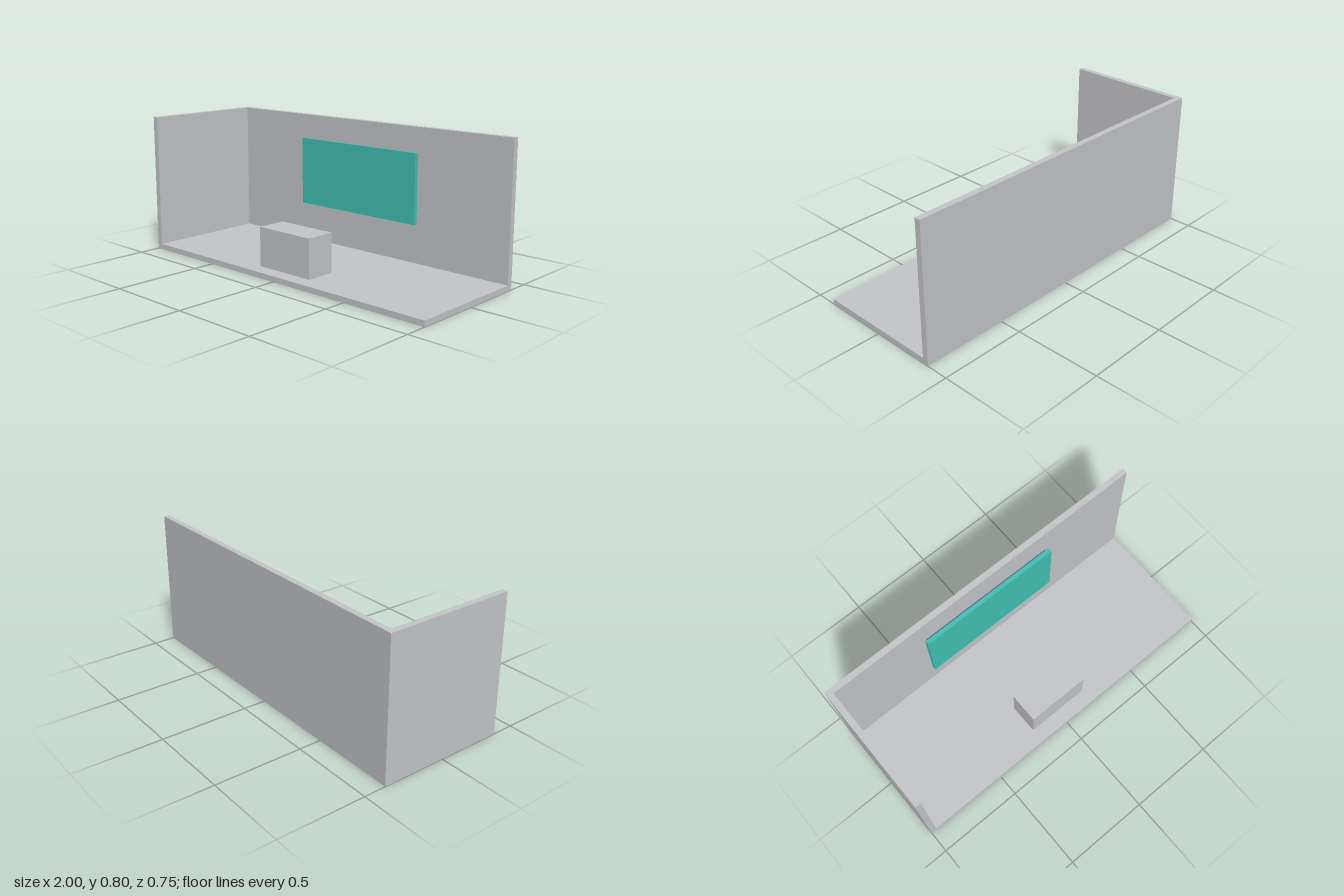
import * as THREE from 'three';

const material = (name, color) => {
  const m = new THREE.MeshStandardMaterial({ color });
  m.name = name;
  return m;
};

export function createModel() {
  const group = new THREE.Group();
  group.name = 'displayBooth';
  const grey = material('light grey', 0xc5c6ca);
  const teal = material('teal', 0x42c1b4);
  const slate = material('slate blue', 0x4a6b85);

  // Box given by its extents along each axis
  const addBox = (name, mat, [x0, x1], [y0, y1], [z0, z1]) => {
    const mesh = new THREE.Mesh(new THREE.BoxGeometry(x1 - x0, y1 - y0, z1 - z0), mat);
    mesh.position.set((x0 + x1) / 2, (y0 + y1) / 2, (z0 + z1) / 2);
    mesh.name = name;
    group.add(mesh);
  };

  // Booth shell: floor and two walls meeting at the rear right corner
  const D = 0.374, H = 0.8, T = 0.032;
  addBox('floor', grey, [-1, 1], [0, T], [-D, D]);
  addBox('backWall', grey, [-1, 1], [T, H], [-D, -D + T + 0.002]);
  addBox('sideWall', grey, [-1, -1 + T + 0.002], [T, H], [-D + T + 0.002, D]);

  // Counter standing on the floor
  addBox('counter', grey, [-0.187, 0.185], [T, 0.256], [0.114, 0.288]);

  // Screen and its smaller backing panel, just clear of the wall
  addBox('screen', teal, [-0.425, 0.425], [0.264, 0.663], [-0.316, -0.292]);
  addBox('screenBacking', slate, [-0.41, 0.41], [0.285, 0.642], [-0.33, -0.316]);

  return group;
}
